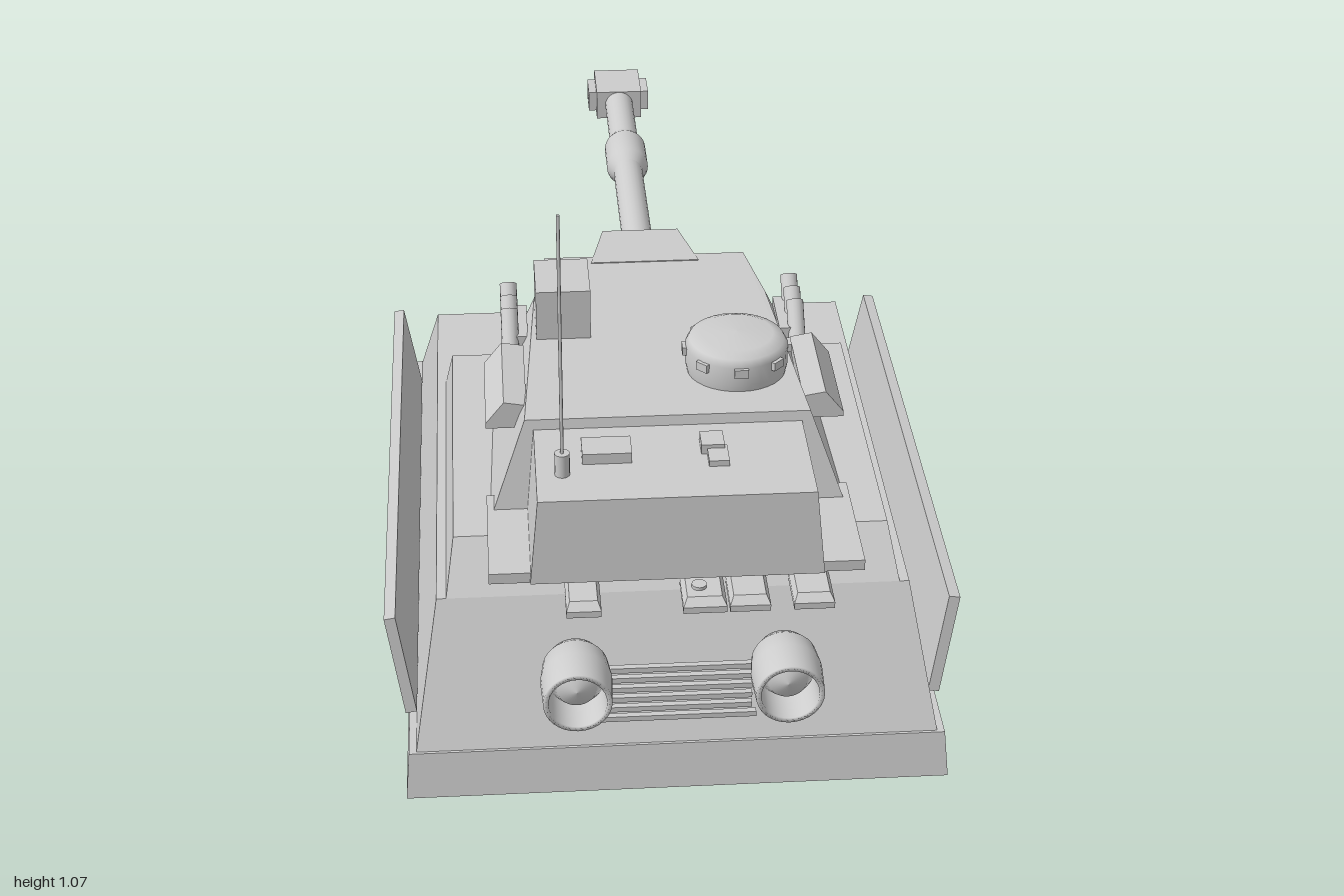
import * as THREE from 'three';

const grey = new THREE.MeshStandardMaterial({ color: 0xcccccc, side: THREE.DoubleSide });
grey.name = 'plain grey';

// Solid from stacked rings; each ring is the +x half outline, front to back, and is mirrored
function loft(halves, capBottom = true) {
  const rings = halves.map(h => [...h, ...h.slice().reverse().map(([x, y, z]) => [-x, y, z])]);
  const out = [], n = rings[0].length;
  const tri = (...p) => p.forEach(v => out.push(...v));
  for (let r = 0; r < rings.length - 1; r++) {
    const a = rings[r], b = rings[r + 1];
    for (let i = 0; i < n; i++) {
      const j = (i + 1) % n;
      tri(a[i], b[i], a[j]);
      tri(a[j], b[i], b[j]);
    }
  }
  const first = rings[0], last = rings[rings.length - 1];
  for (let i = 1; i < n - 1; i++) {
    if (capBottom) tri(first[0], first[i], first[i + 1]);
    tri(last[0], last[i + 1], last[i]);
  }
  const g = new THREE.BufferGeometry();
  g.setAttribute('position', new THREE.Float32BufferAttribute(out, 3));
  g.computeVertexNormals();
  return g;
}

export function createModel() {
  const model = new THREE.Group();
  model.name = 'tank';

  const add = (name, geo, x = 0, y = 0, z = 0, parent = model) => {
    const m = new THREE.Mesh(geo, grey);
    m.name = name;
    m.position.set(x, y, z);
    parent.add(m);
    return m;
  };
  // Box given by its limits
  const box = (name, x0, x1, y0, y1, z0, z1) => add(name,
    new THREE.BoxGeometry(x1 - x0, y1 - y0, z1 - z0), (x0 + x1) / 2, (y0 + y1) / 2, (z0 + z1) / 2);
  // Cylinder along z
  const rod = (name, r, x, y, z0, z1) => add(name,
    new THREE.CylinderGeometry(r, r, Math.abs(z1 - z0), 24).rotateX(Math.PI / 2), x, y, (z0 + z1) / 2);
  const lathe = (pts, seg = 32) => new THREE.LatheGeometry(pts.map(p => new THREE.Vector2(...p)), seg);

  // Hull
  add('lowerHull', loft([
    [[0.475, 0.01, -0.465], [0.475, 0.01, 0.9]],
    [[0.468, 0.095, -0.45], [0.468, 0.095, 0.885]],
  ], false));
  add('upperHull', loft([
    [[0.455, 0.095, -0.447], [0.455, 0.095, 0.88]],
    [[0.412, 0.335, -0.23], [0.412, 0.335, 0.765]],
  ]));
  add('hullDeck', loft([
    [[0.395, 0.335, 0.04], [0.395, 0.335, 0.765]],
    [[0.38, 0.415, 0.075], [0.38, 0.415, 0.695]],
  ]));

  // Underside with four round wells
  const floor = new THREE.Shape([[-0.475, -0.465], [0.475, -0.465], [0.475, 0.9], [-0.475, 0.9]]
    .map(p => new THREE.Vector2(...p)));
  for (const x of [-0.31, 0.31]) for (const z of [-0.225, 0.695]) {
    floor.holes.push(new THREE.Path().absarc(x, z, 0.12, 0, Math.PI * 2, true));
    add('hoverWell', lathe([[0.123, 0.012], [0.123, 0], [0.118, 0], [0.118, 0.02],
      [0.105, 0.05], [0.07, 0.075], [0, 0.085]]), x, 0, z);
  }
  add('underside', new THREE.ShapeGeometry(floor, 32).rotateX(Math.PI / 2), 0, 0.01, 0);

  // Flared side skirts, with strip and rivets
  for (const s of [-1, 1]) {
    const skirt = new THREE.Group();
    skirt.name = 'sideSkirt';
    skirt.position.set(s * 0.465, 0.205, 0);
    skirt.rotation.z = -s * 0.155;
    model.add(skirt);
    const outline = new THREE.Shape([[0.78, -0.1], [0.765, 0.095], [-0.32, 0.095], [-0.35, -0.1]]
      .map(([z, y]) => new THREE.Vector2(-z, y)));
    const plate = new THREE.ExtrudeGeometry(outline, { depth: 0.02, bevelEnabled: false });
    add('skirtPlate', plate.rotateY(Math.PI / 2), s * 0.015 - 0.01, 0, 0, skirt);
    add('skirtStrip', new THREE.BoxGeometry(0.006, 0.036, 0.67), s * 0.027, 0.037, 0.26, skirt);
    for (const z of [0.73, 0.39, 0.05, -0.29]) for (const y of [-0.08, 0.07])
      add('rivet', new THREE.SphereGeometry(0.006, 8, 6), s * 0.025, y, z, skirt);
  }

  // Turret
  add('turretBody', loft([
    [[0.225, 0.415, -0.08], [0.3, 0.415, 0.17], [0.315, 0.415, 0.65]],
    [[0.195, 0.567, -0.03], [0.22, 0.574, 0.14], [0.25, 0.595, 0.61]],
  ]));
  box('turretRim', -0.32, 0.32, 0.415, 0.435, 0.6, 0.84);
  add('turretBustle', loft([
    [[0.25, 0.42, 0.6], [0.25, 0.42, 0.852]],
    [[0.235, 0.577, 0.6], [0.235, 0.577, 0.84]],
  ]));
  box('bustleHatch', -0.155, -0.07, 0.575, 0.597, 0.675, 0.73);
  box('bustleLatch', 0.05, 0.09, 0.575, 0.595, 0.665, 0.71);
  box('bustleLatch', 0.06, 0.095, 0.575, 0.588, 0.7, 0.75);

  // Gun
  add('mantlet', loft([
    [[0.075, 0.407, -0.15], [0.105, 0.415, 0]],
    [[0.075, 0.56, -0.15], [0.105, 0.57, 0]],
  ]));
  rod('barrel', 0.031, 0, 0.495, -0.15, -0.89);
  add('barrelSleeve', lathe([[0.031, 0], [0.044, 0.025], [0.044, 0.115], [0.031, 0.15]])
    .rotateX(-Math.PI / 2), 0, 0.495, -0.54);
  box('muzzleBrake', -0.05, 0.05, 0.463, 0.527, -1, -0.88);
  for (const s of [-1, 1]) {
    const frame = new THREE.Shape([[-0.036, -0.022], [0.036, -0.022], [0.036, 0.022], [-0.036, 0.022]]
      .map(p => new THREE.Vector2(...p)));
    frame.holes.push(new THREE.Path([[-0.029, -0.015], [-0.029, 0.015], [0.029, 0.015], [0.029, -0.015]]
      .map(p => new THREE.Vector2(...p))));
    add('muzzleVent', new THREE.ExtrudeGeometry(frame, { depth: 0.018, bevelEnabled: false })
      .rotateY(Math.PI / 2), s * 0.058 - 0.009, 0.495, -0.938);
  }

  // Cupola with vision blocks
  add('cupola', lathe([[0.088, 0], [0.092, 0.02], [0.092, 0.055], [0.085, 0.068], [0.065, 0.077], [0, 0.08]]),
    0.135, 0.585, 0.445);
  for (let i = 0; i < 8; i++) {
    const a = i * Math.PI / 4;
    const block = add('visionBlock', new THREE.BoxGeometry(0.025, 0.016, 0.012),
      0.135 + Math.sin(a) * 0.092, 0.632, 0.445 + Math.cos(a) * 0.092);
    block.rotation.y = a;
  }

  // Optic box and aerial
  box('opticBox', -0.22, -0.12, 0.575, 0.68, 0.185, 0.31);
  rod('opticLens', 0.032, -0.17, 0.635, 0.178, 0.19);
  add('aerialBase', new THREE.CylinderGeometry(0.013, 0.013, 0.045, 16), -0.19, 0.597, 0.757);
  add('aerial', new THREE.CylinderGeometry(0.003, 0.003, 0.47, 8), -0.19, 0.835, 0.757);

  // Smoke launchers and side stowage shelves
  for (const s of [-1, 1]) {
    for (const z of [0.14, 0.19, 0.24]) {
      const tube = add('smokeLauncher', new THREE.CylinderGeometry(0.016, 0.016, 0.075, 16), s * 0.268, 0.565, z);
      tube.rotation.x = -0.75;
    }
    box('launcherBracket', s * 0.25 - 0.015, s * 0.25 + 0.015, 0.53, 0.56, 0.14, 0.26);
    const section = new THREE.Shape([[0.245, 0.585], [0.285, 0.592], [0.318, 0.55], [0.318, 0.54], [0.25, 0.54]]
      .map(([x, y]) => new THREE.Vector2(s * x, y)));
    add('stowageShelf', new THREE.ExtrudeGeometry(section, { depth: 0.21, bevelEnabled: false }), 0, 0, 0.335);
  }

  // Exhausts
  for (const x of [-0.178, 0.178])
    add('exhaust', lathe([[0, 0], [0.045, 0], [0.056, 0.02], [0.061, 0.06], [0.058, 0.12], [0.049, 0.12],
      [0.047, 0.06], [0.033, 0.082], [0, 0.092]]).rotateX(Math.PI / 2), x, 0.28, 0.88);

  // Rear grille
  for (let i = 0; i < 6; i++) {
    const w = i === 0 ? 0.135 : 0.127, y = 0.152 + i * 0.0207;
    box('grilleSlat', -w, w, y - 0.005, y + 0.005, 0.874, 0.885);
  }

  // Rear deck fittings
  for (const [x0, x1] of [[-0.19, -0.13], [0.01, 0.085], [0.09, 0.16], [0.2, 0.27]]) {
    const c = (x0 + x1) / 2, w = (x1 - x0) / 2;
    add('deckFitting', loft([
      [[w, 0, -0.045], [w, 0, 0.045]],
      [[w, 0.012, -0.045], [w, 0.012, 0.045]],
      [[w * 0.8, 0.024, -0.03], [w * 0.8, 0.024, 0.03]],
    ]), c, 0.345, 0.805);
  }
  add('deckCap', new THREE.CylinderGeometry(0.013, 0.013, 0.03, 16), 0.04, 0.36, 0.805);

  // Front lamps, tow pins and driver's periscope
  for (const s of [-1, 1]) {
    const c = s * 0.303;
    box('headlampBox', c - 0.07, c + 0.07, 0.14, 0.19, -0.462, -0.43);
    for (const d of [-0.033, 0.033])
      box('headlampLens', c + d - 0.026, c + d + 0.026, 0.152, 0.178, -0.469, -0.46);
    rod('towPin', 0.018, s * 0.165, 0.112, -0.45, -0.505);
  }
  box('periscope', 0.04, 0.14, 0.335, 0.35, -0.05, 0.05);
  box('periscopeHead', 0.06, 0.12, 0.35, 0.36, -0.03, 0.03);

  return model;
}
